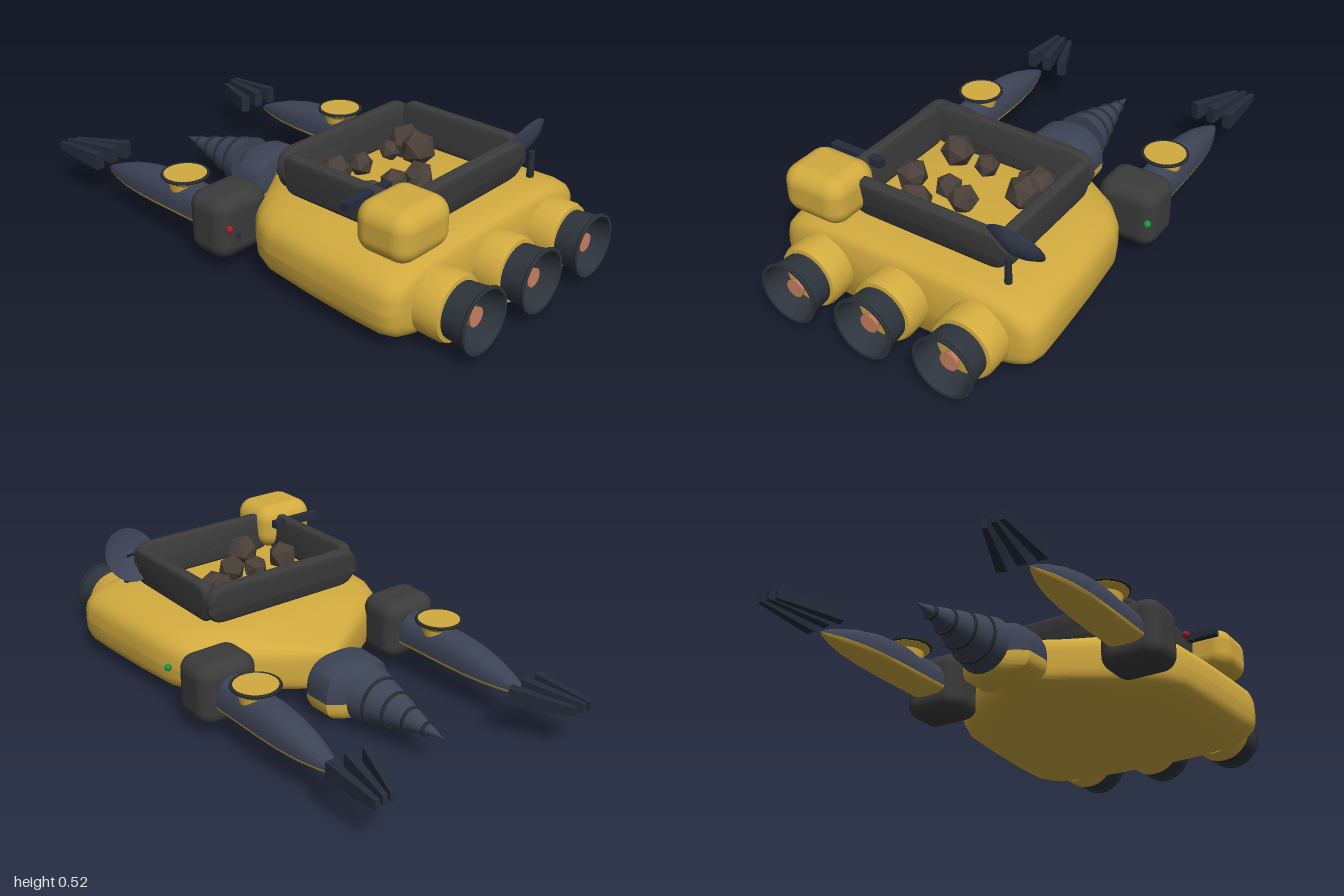
import * as THREE from 'three';
import { toCreasedNormals } from 'three/addons/utils/BufferGeometryUtils.js';
import { RoundedBoxGeometry } from 'three/addons/geometries/RoundedBoxGeometry.js';

const paint = (color, extra = {}) => new THREE.MeshStandardMaterial({ color, ...extra });
const yellow = paint(0xd2ab3f), slate = paint(0x3d4456), dark = paint(0x3b3b3b);
const rim = paint(0x262c30), clawMat = paint(0x252c3a), copper = paint(0xc98260);
const rockMat = paint(0x4a4039, { flatShading: true });
const slateThin = paint(0x3d4456, { side: THREE.DoubleSide });
const red = paint(0xa02028), green = paint(0x149a3c);

function add(parent, name, geometry, material, x = 0, y = 0, z = 0) {
  const mesh = new THREE.Mesh(geometry, material);
  mesh.name = name;
  mesh.position.set(x, y, z);
  parent.add(mesh);
  return mesh;
}

// Half of a lofted body: stations are [z, halfWidth, bottom, waterline, top]
function halfLoft(stations, n, upper, seg = 28) {
  const pos = [], idx = [];
  for (const [z, w, yb, ym, yt] of stations) {
    for (let j = 0; j <= seg; j++) {
      const t = (j / seg + (upper ? 0 : 1)) * Math.PI;
      const c = Math.cos(t), s = Math.sin(t);
      const h = upper ? yt - ym : ym - yb;
      pos.push(w * Math.sign(c) * Math.abs(c) ** (2 / n), ym + h * Math.sign(s) * Math.abs(s) ** (2 / n), z);
    }
  }
  for (let i = 0; i < stations.length - 1; i++) {
    for (let j = 0; j < seg; j++) {
      const a = i * (seg + 1) + j, c = a + seg + 1;
      idx.push(a, a + 1, c, a + 1, c + 1, c);
    }
  }
  const g = new THREE.BufferGeometry();
  g.setAttribute('position', new THREE.Float32BufferAttribute(pos, 3));
  g.setIndex(idx);
  return toCreasedNormals(g, 0.7);
}

function body(parent, name, stations, n, topMat, bottomMat, x = 0) {
  add(parent, name + 'Upper', halfLoft(stations, n, true), topMat, x);
  add(parent, name + 'Lower', halfLoft(stations, n, false), bottomMat, x);
}

// Lathe whose axis runs along z
const latheZ = (points, seg = 32) => toCreasedNormals(
  new THREE.LatheGeometry(points.map(p => new THREE.Vector2(...p)), seg).rotateX(Math.PI / 2), 0.6);

// Upright padded panel with rounded corners, length along x
function panel(length, height, r) {
  const a = length / 2, b = height / 2, s = new THREE.Shape();
  s.moveTo(-a + r, -b);
  s.lineTo(a - r, -b).quadraticCurveTo(a, -b, a, -b + r);
  s.lineTo(a, b - r).quadraticCurveTo(a, b, a - r, b);
  s.lineTo(-a + r, b).quadraticCurveTo(-a, b, -a, b - r);
  s.lineTo(-a, -b + r).quadraticCurveTo(-a, -b, -a + r, -b);
  const g = new THREE.ExtrudeGeometry(s, { depth: 0.016, bevelSize: 0.016, bevelThickness: 0.016,
    bevelOffset: -0.016, bevelSegments: 4, curveSegments: 8 });
  return toCreasedNormals(g.translate(0, 0, -0.008), 0.7);
}

function addEngine(parent, x) {
  const engine = new THREE.Group();
  engine.name = 'engine';
  engine.position.set(x, 0.142, 0);
  parent.add(engine);
  add(engine, 'engineCollar', latheZ([[0, 0.78], [0.12, 0.78], [0.122, 0.88], [0.115, 0.897], [0.1, 0.9], [0, 0.9]]), yellow);
  add(engine, 'nozzle', latheZ([[0.1, 0.89], [0.104, 0.94], [0.112, 0.99], [0.118, 0.992], [0.118, 1],
    [0.108, 1], [0.1, 0.95], [0.094, 0.89]]), paint(0x2f353d, { side: THREE.DoubleSide }));
  add(engine, 'nozzleLip', new THREE.TorusGeometry(0.113, 0.006, 8, 36), rim, 0, 0, 0.993);
  add(engine, 'exhaustCore', latheZ([[0, 0.89], [0.014, 0.89], [0.035, 0.965], [0, 0.965]], 16), copper);
}

function addArm(parent, s) {
  const arm = new THREE.Group();
  arm.name = s > 0 ? 'leftArm' : 'rightArm';
  parent.add(arm);
  add(arm, 'shoulder', new RoundedBoxGeometry(0.245, 0.245, 0.195, 5, 0.06), dark, s * 0.432, 0.173, -0.06);
  body(arm, 'forearm', [
    [-0.765, 0, 0.14, 0.14, 0.14], [-0.74, 0.014, 0.13, 0.14, 0.158], [-0.68, 0.036, 0.124, 0.142, 0.184],
    [-0.6, 0.056, 0.12, 0.142, 0.212], [-0.5, 0.068, 0.118, 0.142, 0.235], [-0.4, 0.072, 0.116, 0.142, 0.246],
    [-0.25, 0.074, 0.116, 0.142, 0.246], [-0.1, 0.075, 0.116, 0.142, 0.245],
  ], 2.4, slate, yellow, s * 0.43);
  // Turntable on the forearm
  add(arm, 'turntable', toCreasedNormals(new THREE.LatheGeometry([[0, 0.2], [0.06, 0.2], [0.064, 0.24],
    [0.086, 0.257], [0.086, 0.27], [0, 0.27]].map(p => new THREE.Vector2(...p)), 32), 0.6), yellow, s * 0.43, 0, -0.295);
  add(arm, 'turntableRim', new THREE.TorusGeometry(0.086, 0.007, 8, 36).rotateX(Math.PI / 2), rim, s * 0.43, 0.265, -0.295);
  // Prongs: [base x, tip x, height]
  for (const [x0, x1, y] of [[0.325, 0.422, 0.18], [0.402, 0.455, 0.186], [0.478, 0.486, 0.183]]) {
    const g = new THREE.CylinderGeometry(0.35, 0.71, 0.24, 4).rotateY(Math.PI / 4)
      .scale(0.036, 1, 0.068).rotateX(-Math.PI / 2);
    const prong = add(arm, 'clawProng', toCreasedNormals(g, 0.3), clawMat, s * (x0 + x1) / 2, y, -0.88);
    prong.rotation.y = -s * Math.atan((x1 - x0) / 0.24);
  }
}

function addDrill(parent) {
  const drill = new THREE.Group();
  drill.name = 'drill';
  parent.add(drill);
  body(drill, 'drillMount', [
    [-0.4, 0, 0.1, 0.1, 0.1], [-0.395, 0.015, 0.075, 0.1, 0.17], [-0.38, 0.05, 0.045, 0.1, 0.2],
    [-0.355, 0.105, 0.024, 0.1, 0.222], [-0.325, 0.143, 0.016, 0.1, 0.232], [-0.23, 0.147, 0.016, 0.1, 0.235],
    [-0.205, 0.14, 0.024, 0.1, 0.228], [-0.195, 0.12, 0.045, 0.1, 0.2], [-0.195, 0, 0.1, 0.1, 0.1],
  ], 2.8, slate, yellow);
  add(drill, 'drillBit', new THREE.ConeGeometry(0.108, 0.385, 32).rotateX(-Math.PI / 2), slate, 0, 0.127, -0.588);
  for (let i = 0; i < 4; i++) {
    const z = -0.46 - i * 0.08;
    add(drill, 'drillRidge', new THREE.TorusGeometry(0.108 * (0.78 + z) / 0.385, 0.007, 8, 32), rim, 0, 0.127, z);
  }
}

function addCargoBin(parent) {
  const bin = new THREE.Group();
  bin.name = 'cargoBin';
  parent.add(bin);
  add(bin, 'frontWall', panel(0.7, 0.155, 0.08), dark, 0, 0.38, 0.127).rotation.x = -0.13;
  add(bin, 'rearWall', panel(0.66, 0.155, 0.08), dark, 0.02, 0.38, 0.655).rotation.x = 0.13;
  for (const s of [-1, 1]) {
    const wall = add(bin, s > 0 ? 'leftWall' : 'rightWall', panel(0.52, 0.155, 0.05), dark, s * 0.325, 0.38, 0.395);
    wall.rotation.set(0, Math.PI / 2, -s * 0.08, 'ZYX');
  }
  // Ore lumps: [x, z, radius]
  [[-0.17, 0.22, 0.066], [-0.035, 0.225, 0.048], [0.135, 0.22, 0.042], [0.205, 0.24, 0.07], [0.185, 0.315, 0.07],
    [-0.22, 0.43, 0.062], [-0.07, 0.412, 0.052], [0.02, 0.45, 0.057], [-0.11, 0.56, 0.07]].forEach(([x, z, r], i) => {
    add(bin, 'oreLump', new THREE.IcosahedronGeometry(r), rockMat, x, 0.3 + r * 0.75, z).rotation.set(i, i * 1.7, i * 0.6);
  });
}

function addRoofGear(parent) {
  // Cabin and its sensor bar
  add(parent, 'cabin', new RoundedBoxGeometry(0.26, 0.185, 0.23, 6, 0.065), yellow, -0.37, 0.4, 0.695);
  add(parent, 'sensorBar', new THREE.BoxGeometry(0.22, 0.03, 0.033), clawMat, -0.37, 0.44, 0.54);
  // Dish tilted up and forward
  const dish = [[0, 0], [0.035, 0.004], [0.075, 0.015], [0.109, 0.034]].map(p => new THREE.Vector2(...p));
  add(parent, 'dish', new THREE.LatheGeometry(dish, 24), slateThin, 0.37, 0.41, 0.675).rotation.x = -1.08;
  add(parent, 'dishMast', new THREE.CylinderGeometry(0.012, 0.014, 0.1, 10), clawMat, 0.37, 0.345, 0.69);
  add(parent, 'dishFeed', new THREE.CylinderGeometry(0.005, 0.005, 0.07, 8), clawMat, 0.37, 0.426, 0.645).rotation.x = -1.08;
}

export function createModel() {
  const model = new THREE.Group();
  model.name = 'miningShip';

  body(model, 'hull', [
    [-0.2, 0, 0.14, 0.14, 0.14], [-0.2, 0.02, 0.075, 0.14, 0.22], [-0.15, 0.1, 0.06, 0.145, 0.235],
    [-0.08, 0.205, 0.05, 0.15, 0.25], [0, 0.33, 0.04, 0.15, 0.27], [0.05, 0.405, 0.033, 0.15, 0.281],
    [0.12, 0.465, 0.024, 0.15, 0.292], [0.2, 0.498, 0.014, 0.15, 0.301], [0.4, 0.517, 0.005, 0.15, 0.306],
    [0.6, 0.53, 0, 0.15, 0.307], [0.72, 0.537, 0.004, 0.15, 0.304], [0.765, 0.528, 0.012, 0.15, 0.297],
    [0.787, 0.51, 0.025, 0.15, 0.286], [0.8, 0.475, 0.045, 0.15, 0.262], [0.8, 0, 0.15, 0.15, 0.15],
  ], 3.6, yellow, yellow);

  for (const x of [-0.325, 0, 0.325]) addEngine(model, x);
  for (const s of [-1, 1]) addArm(model, s);
  addDrill(model);
  addCargoBin(model);
  addRoofGear(model);

  // Side lights
  const bead = r => new THREE.IcosahedronGeometry(r, 1);
  add(model, 'leftLight', bead(0.014), green, 0.555, 0.217, 0.078);
  add(model, 'rightLight', bead(0.014), red, -0.555, 0.217, 0.078);
  add(model, 'rightSensor', bead(0.009), clawMat, -0.555, 0.215, 0.125);
  return model;
}
